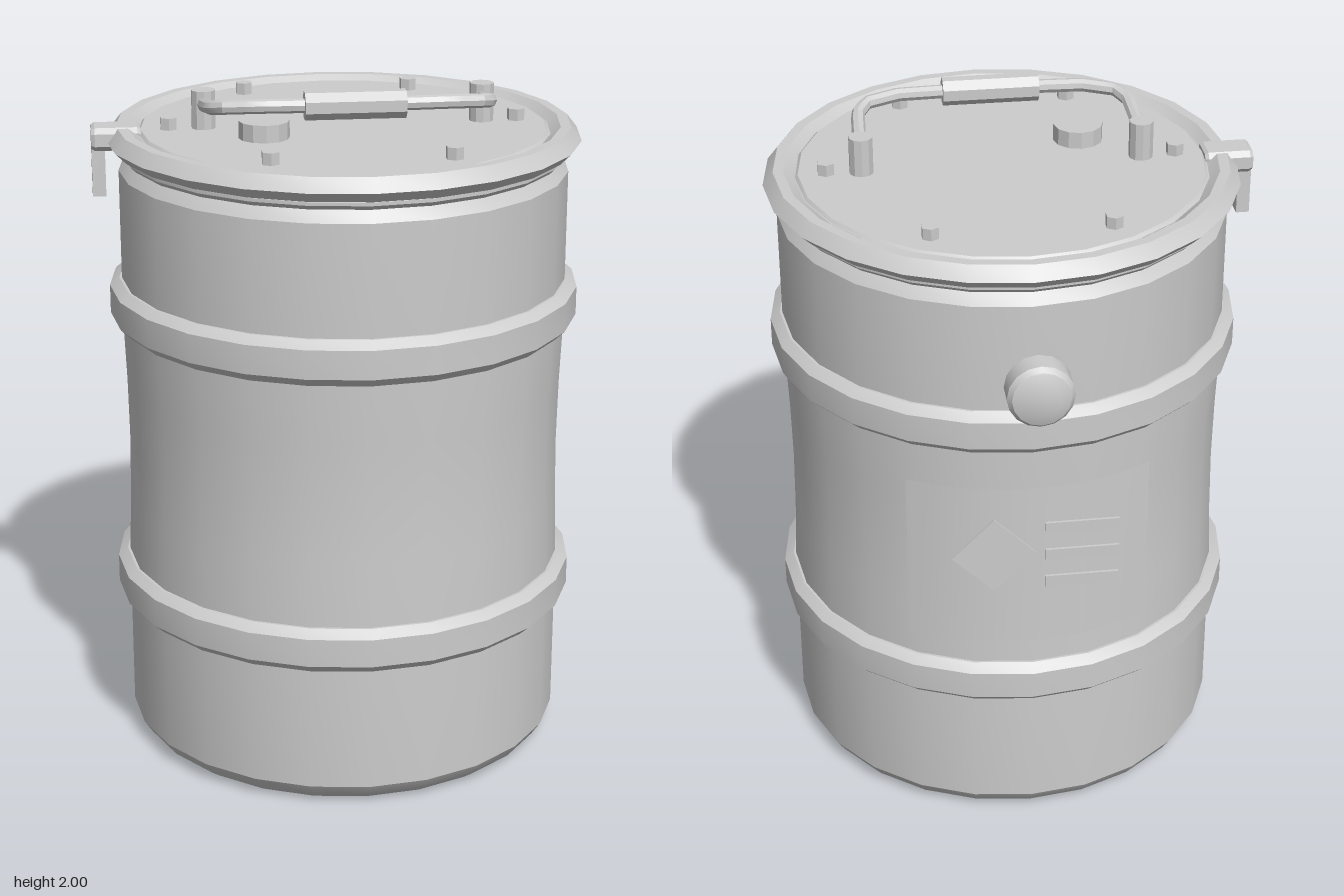
import * as THREE from 'three';
import { toCreasedNormals } from 'three/addons/utils/BufferGeometryUtils.js';

export function createModel() {
  const steel = new THREE.MeshStandardMaterial({ color: 0xcccccc });
  steel.name = 'grey steel';
  const sheet = new THREE.MeshStandardMaterial({ color: 0xcccccc, side: THREE.DoubleSide });
  sheet.name = 'grey label';

  const model = new THREE.Group();
  model.name = 'drum';
  // Everything is placed relative to the drum's axis
  const drum = new THREE.Group();
  drum.name = 'drumParts';
  drum.position.set(0.02, 0, 0.07);
  model.add(drum);

  function add(name, geometry, x = 0, y = 0, z = 0, material = steel) {
    const mesh = new THREE.Mesh(toCreasedNormals(geometry, 0.45), material);
    mesh.name = name;
    mesh.position.set(x, y, z);
    drum.add(mesh);
    return mesh;
  }
  const lathe = (points, sides) =>
    new THREE.LatheGeometry(points.map(([r, y]) => new THREE.Vector2(r, y)), sides);

  // Barrel wall with chamfered foot and slightly drawn-in waist
  add('body', lathe([
    [0, 0], [0.59, 0], [0.62, 0.022], [0.645, 0.06], [0.645, 0.56], [0.638, 0.74],
    [0.635, 0.92], [0.638, 1.1], [0.645, 1.28], [0.645, 1.73], [0.622, 1.762],
    [0.635, 1.775], [0.635, 1.785], [0.62, 1.8], [0.6, 1.82],
  ], 24));

  // Two rolling hoops
  for (const [name, y] of [['lowerHoop', 0.43], ['upperHoop', 1.28]]) {
    add(name, lathe([[0.64, 0], [0.652, 0], [0.68, 0.027], [0.68, 0.11], [0.652, 0.132], [0.64, 0.132]], 24), 0, y);
  }

  // Clamp ring and recessed lid
  add('clampRing', lathe([
    [0.6, 1.79], [0.65, 1.79], [0.68, 1.82], [0.65, 1.858], [0.62, 1.858], [0.588, 1.835],
  ], 24));
  add('lid', lathe([[0.6, 1.835], [0.588, 1.838], [0.58, 1.846], [0, 1.846]], 24));

  // Lid bolts
  for (let i = 0; i < 6; i++) {
    const a = (i * Math.PI) / 3;
    add('lidBolt', new THREE.CylinderGeometry(0.026, 0.026, 0.04, 6), 0.5 * Math.cos(a), 1.86, 0.5 * Math.sin(a));
  }

  // Bung
  add('bung', new THREE.CylinderGeometry(0.072, 0.072, 0.055, 12), -0.24, 1.868, 0.135);

  // Carrying handle: two posts, bent bar and grip
  for (const s of [-1, 1]) {
    add('handlePost', new THREE.CylinderGeometry(0.035, 0.035, 0.115, 10), s * 0.4, 1.898, -0.005);
  }
  const half = [[0.4, 1.915, 0], [0.398, 1.927, 0.08], [0.393, 1.944, 0.175], [0.365, 1.955, 0.225], [0.27, 1.962, 0.255], [0.14, 1.962, 0.26]];
  const path = new THREE.CurvePath();
  const points = [
    ...half.map(([x, y, z]) => new THREE.Vector3(-x, y, z)),
    ...half.slice().reverse().map(([x, y, z]) => new THREE.Vector3(x, y, z)),
  ];
  for (let i = 1; i < points.length; i++) path.add(new THREE.LineCurve3(points[i - 1], points[i]));
  add('handleBar', new THREE.TubeGeometry(path, 40, 0.02, 8));
  const grip = new THREE.CylinderGeometry(0.041, 0.041, 0.28, 8);
  grip.rotateY(Math.PI / 8).rotateZ(Math.PI / 2);
  add('handleGrip', grip, 0, 1.962, 0.26);

  // Ring latch: chamfered block with hanging lever
  const section = new THREE.Shape([
    [-0.053, -0.018], [-0.038, -0.033], [0.038, -0.033], [0.053, -0.018],
    [0.053, 0.018], [0.038, 0.033], [-0.038, 0.033], [-0.053, 0.018],
  ].map(([x, y]) => new THREE.Vector2(x, y)));
  const block = new THREE.ExtrudeGeometry(section, { depth: 0.12, bevelThickness: 0.01, bevelSize: 0.006, bevelOffset: -0.006, bevelSegments: 1 });
  block.translate(0, 0, -0.06).rotateY(Math.PI / 2);
  add('latchBlock', block, -0.65, 1.828, -0.005);
  add('latchLever', new THREE.BoxGeometry(0.038, 0.18, 0.055), -0.701, 1.75, -0.005);

  // Valve on the back
  const stem = new THREE.CylinderGeometry(0.025, 0.025, 0.12, 10).rotateX(-Math.PI / 2);
  add('valveStem', stem, 0, 1.54, -0.68);
  const knob = lathe([[0, 0], [0.085, 0], [0.092, 0.008], [0.092, 0.07], [0.08, 0.085], [0.05, 0.096], [0, 0.098]], 16);
  add('valveKnob', knob.rotateX(-Math.PI / 2), 0, 1.54, -0.722);

  // Curved label plate on the back
  const span = (64 * Math.PI) / 180;
  add('label', new THREE.CylinderGeometry(0.651, 0.651, 0.52, 10, 1, true, Math.PI - span / 2, span), 0, 0.9, 0, sheet);

  // Diamond and bars on the label
  const side = 0.12 * Math.SQRT2;
  add('labelDiamond', new THREE.BoxGeometry(side, side, 0.008), 0.11, 0.95, -0.656).rotation.z = Math.PI / 4;
  for (const y of [0.85, 0.94, 1.03]) {
    add('labelBar', new THREE.BoxGeometry(0.21, 0.035, 0.008), -0.14, y, -0.656);
  }

  return model;
}
